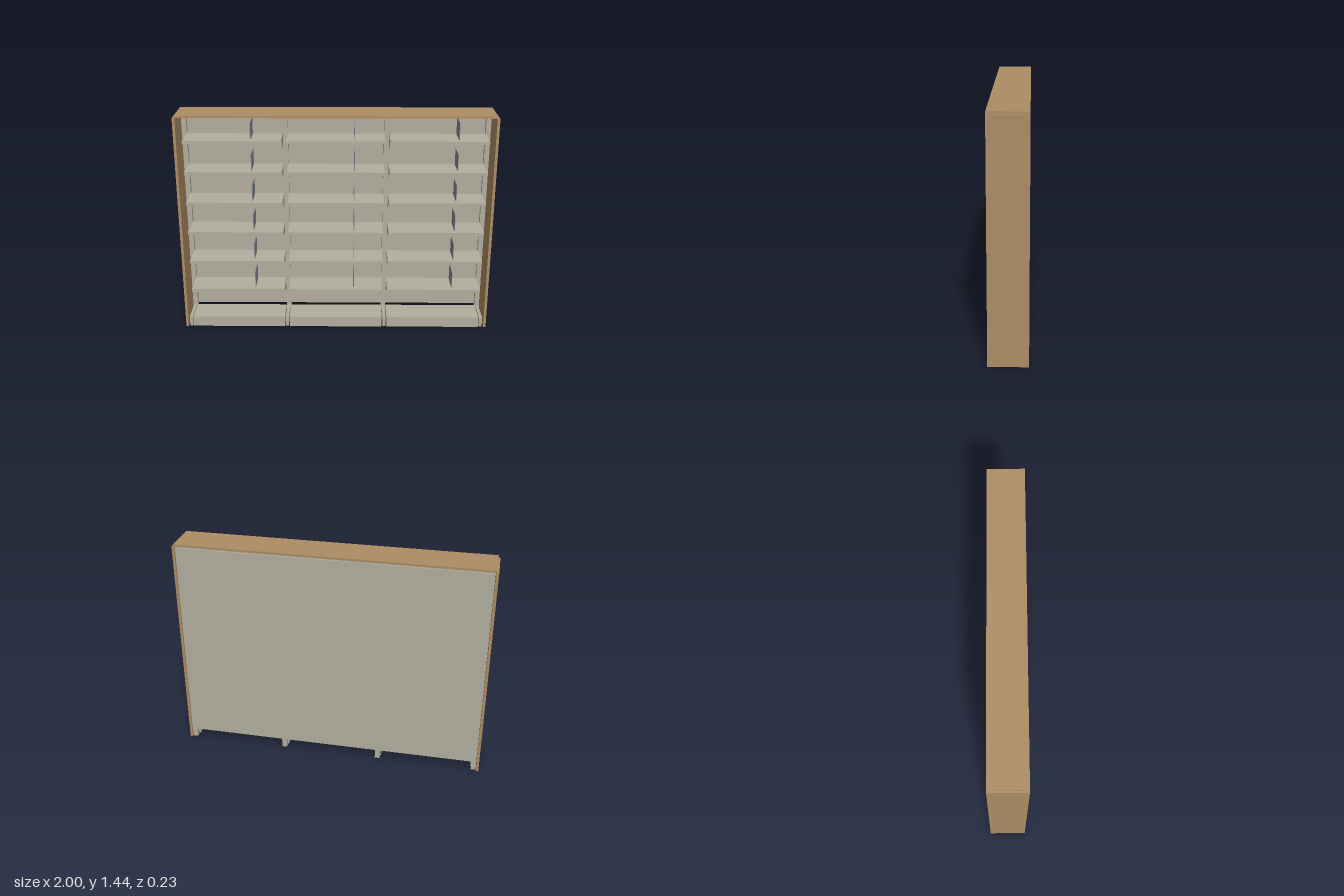
import * as THREE from 'three';

export function createModel() {
  const root = new THREE.Group();
  root.name = 'shelvingUnit';

  const wood = new THREE.MeshStandardMaterial({ color: 0xad8c64 });
  wood.name = 'tan wood';
  const metal = new THREE.MeshStandardMaterial({ color: 0xb2ae9f });
  metal.name = 'warm grey metal';
  const dark = new THREE.MeshStandardMaterial({ color: 0x868a94 });
  dark.name = 'slate divider';

  // box given by its limits on each axis
  function box(name, mat, x0, x1, y0, y1, z0, z1, parent = root) {
    const mesh = new THREE.Mesh(new THREE.BoxGeometry(x1 - x0, y1 - y0, z1 - z0), mat);
    mesh.position.set((x0 + x1) / 2, (y0 + y1) / 2, (z0 + z1) / 2);
    mesh.name = name;
    parent.add(mesh);
    return mesh;
  }

  // wooden surround
  box('leftEndPanel', wood, 0.983, 1, 0, 1.425, -0.117, 0.117);
  box('rightEndPanel', wood, -1, -0.983, 0, 1.425, -0.117, 0.117);
  box('canopy', wood, -0.988, 0.988, 1.426, 1.44, -0.117, 0.117);

  // back sheet, raised off the floor
  box('backPanel', metal, -0.98, 0.98, 0.068, 1.417, -0.114, -0.106);

  // uprights with feet running forward
  const posts = [-0.965, -0.322, 0.322, 0.965];
  for (const x of posts) {
    box('upright', metal, x - 0.016, x + 0.016, 0, 1.422, -0.106, -0.076);
    box('foot', metal, x - 0.01, x + 0.01, 0, 0.066, -0.076, 0.108);
  }

  // small tapered bracket under a shelf end
  const profile = new THREE.Shape();
  profile.moveTo(0, 0);
  profile.lineTo(0.055, 0);
  profile.lineTo(0.012, -0.07);
  profile.lineTo(0, -0.07);
  const bracketGeometry = new THREE.ExtrudeGeometry(profile, { depth: 0.004, bevelEnabled: false });
  bracketGeometry.rotateY(-Math.PI / 2); // depth now runs -x, profile runs +z
  bracketGeometry.translate(0.002, 0, 0);

  const shelfTops = [0.272, 0.474, 0.675, 0.876, 1.078, 1.279];
  for (let i = 0; i < 3; i++) {
    const bay = new THREE.Group();
    bay.name = 'bay' + (i + 1);
    root.add(bay);
    const x0 = posts[i] + 0.016;
    const x1 = posts[i + 1] - 0.016;

    // top rail between the uprights
    box('topRail', metal, x0, x1, 1.395, 1.42, -0.104, -0.084, bay);

    // base deck, open below and behind
    box('baseDeck', metal, x0, x1, 0.062, 0.07, -0.07, 0.113, bay);
    box('basePlinth', metal, x0, x1, 0, 0.062, 0.105, 0.113, bay);
    box('baseSide', metal, x0, x0 + 0.005, 0, 0.062, -0.07, 0.105, bay);
    box('baseSide', metal, x1 - 0.005, x1, 0, 0.062, -0.07, 0.105, bay);

    // shelves, each with brackets and one divider
    const dividerX = -0.53 + i * 0.6475;
    for (const y of shelfTops) {
      box('shelf', metal, x0, x1, y - 0.02, y, -0.076, 0.11, bay);
      box('divider', dark, dividerX - 0.002, dividerX + 0.002, y, y + 0.106, -0.07, 0.073, bay);
      for (const x of [x0 + 0.003, x1 - 0.003]) {
        const bracket = new THREE.Mesh(bracketGeometry, metal);
        bracket.name = 'shelfBracket';
        bracket.position.set(x, y - 0.02, -0.076);
        bay.add(bracket);
      }
    }
  }
  return root;
}
